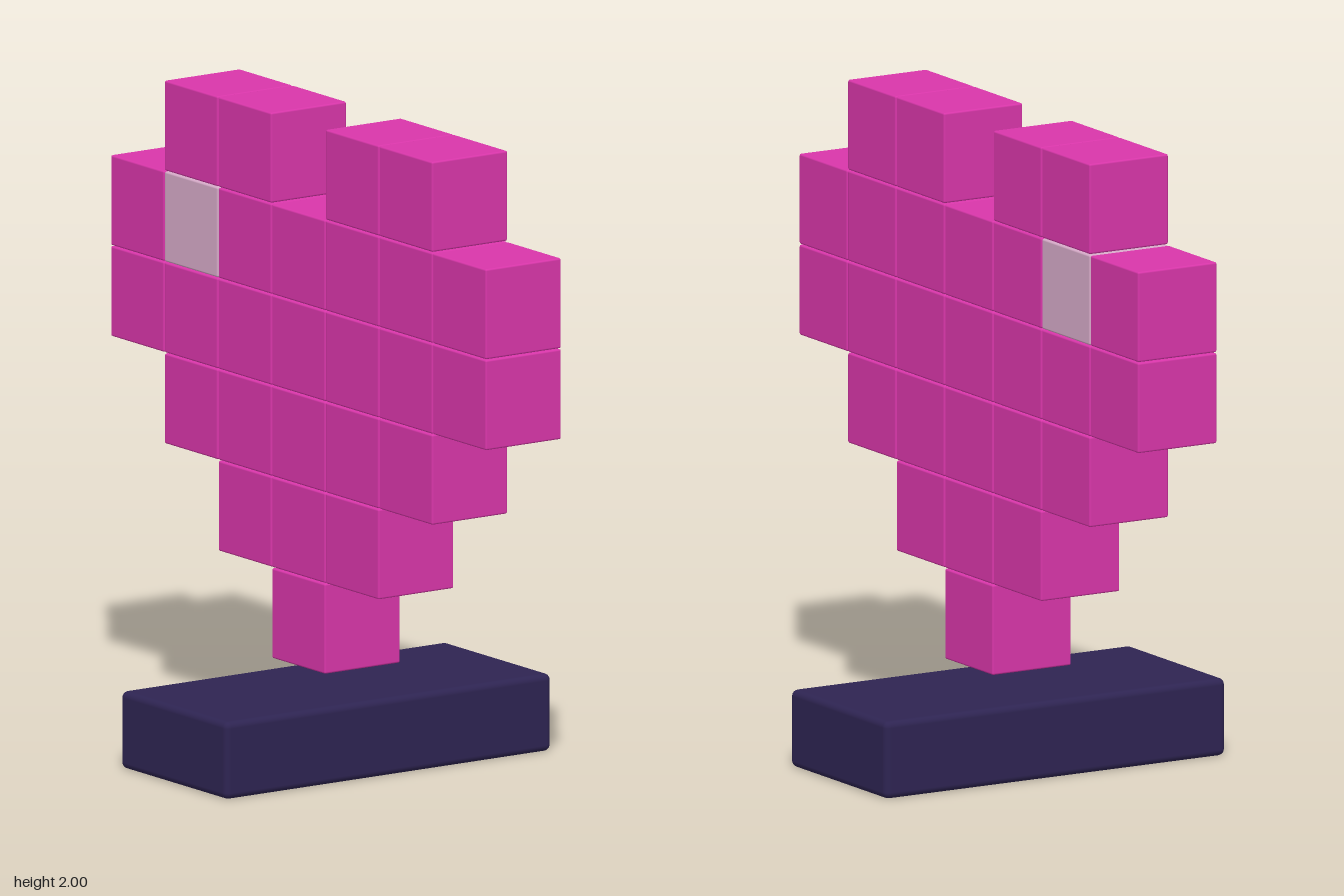
import * as THREE from 'three';
import { RoundedBoxGeometry } from 'three/addons/geometries/RoundedBoxGeometry.js';

// Heart pattern, top row first; columns run from +z to -z
const ROWS = [
  '.##.##.',
  '#####o#',
  '#######',
  '.#####.',
  '..###..',
  '...#...',
];
const SIZE = 0.28;
const PITCH = 0.2825;
const TOP = 2;

function material(name, color) {
  const m = new THREE.MeshStandardMaterial({ color });
  m.name = name;
  return m;
}

export function createModel() {
  const model = new THREE.Group();
  model.name = 'heartTrophy';

  const pink = material('hot pink', 0xd936aa);
  const pale = material('pale pink', 0xd6aac8);
  const navy = material('dark indigo', 0x2e2452);

  // Softened slab the heart floats above
  const base = new THREE.Mesh(new RoundedBoxGeometry(1.21, 0.24, 0.56, 3, 0.02), navy);
  base.name = 'base';
  base.position.y = 0.12;
  model.add(base);

  // Heart of cubes, one cube being the pale glint
  const heart = new THREE.Group();
  heart.name = 'heart';
  const cube = new RoundedBoxGeometry(SIZE, SIZE, SIZE, 2, 0.006);
  ROWS.forEach((row, r) => {
    [...row].forEach((cell, c) => {
      if (cell === '.') return;
      const block = new THREE.Mesh(cube, cell === 'o' ? pale : pink);
      block.name = cell === 'o' ? 'glintCube' : 'heartCube';
      block.position.set(0, TOP - SIZE / 2 - r * PITCH, (3 - c) * PITCH);
      heart.add(block);
    });
  });
  model.add(heart);

  return model;
}
